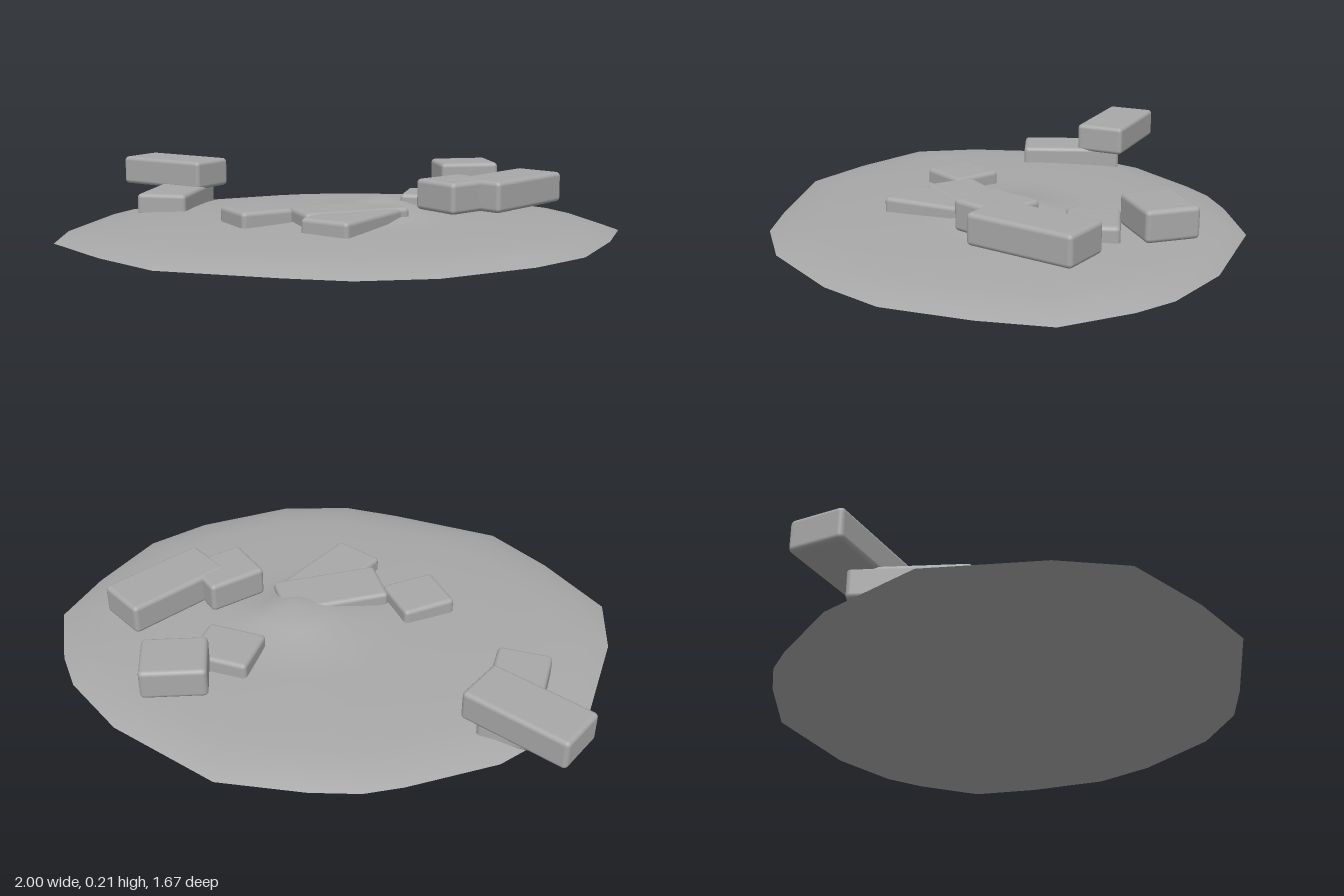
import * as THREE from 'three';
import { RoundedBoxGeometry } from 'three/addons/geometries/RoundedBoxGeometry.js';

const stone = new THREE.MeshStandardMaterial({ color: 0xa8a8a8 });
stone.name = 'grey stone';

// Irregular rim of the mound, as x, z pairs seen from above
const RIM = [
  [-1, 0.22], [-0.8, 0.475], [-0.6, 0.67], [-0.2, 0.785], [0.01, 0.83], [0.27, 0.8], [0.585, 0.645],
  [0.77, 0.49], [0.915, 0.22], [1, -0.01], [0.93, -0.26], [0.86, -0.4], [0.67, -0.6], [0.3, -0.82],
  [0, -0.84], [-0.17, -0.83], [-0.3, -0.79], [-0.6, -0.66], [-0.9, -0.4], [-1, -0.02],
];
const PEAK = [0.14, -0.03];

// Surface from rings that shrink from the rim to the peak; each ring is [scale, height]
function ringSurface(rings, faceUp) {
  const n = RIM.length, pos = [], idx = [];
  for (const [s, y] of rings) {
    for (const [x, z] of RIM) {
      pos.push(PEAK[0] + (x - PEAK[0]) * s, y, PEAK[1] + (z - PEAK[1]) * s);
    }
  }
  const last = pos.length / 3;
  pos.push(PEAK[0], faceUp ? 0.138 : 0.004, PEAK[1]);
  const tri = (a, b, c) => (faceUp ? idx.push(a, b, c) : idx.push(a, c, b));
  for (let r = 0; r < rings.length; r++) {
    for (let i = 0; i < n; i++) {
      const a = r * n + i, b = r * n + (i + 1) % n;
      if (r === rings.length - 1) tri(a, b, last);
      else {
        tri(a, b, b + n);
        tri(a, b + n, a + n);
      }
    }
  }
  const g = new THREE.BufferGeometry();
  g.setAttribute('position', new THREE.Float32BufferAttribute(pos, 3));
  g.setIndex(idx);
  g.computeVertexNormals();
  return g;
}

export function createModel() {
  const model = new THREE.Group();
  const add = (name, geometry) => {
    const mesh = new THREE.Mesh(geometry, stone);
    mesh.name = name;
    model.add(mesh);
    return mesh;
  };

  // Low mound with a small peak, closed by a nearly flat underside
  add('moundTop', ringSurface(
    [[1, 0.008], [0.92, 0.032], [0.8, 0.046], [0.6, 0.057], [0.4, 0.064], [0.28, 0.07], [0.14, 0.098]], true));
  add('moundUnderside', ringSurface([[1, 0.008], [0.85, 0], [0.4, 0.002]], false));

  // Whole and broken bricks: name, x, z, turn, length, top height
  const LOW = 0.115, HIGH = 0.212;
  const bricks = [
    ['leftBackUpperBrick', -0.677, -0.585, -0.59, 0.39, HIGH],
    ['leftBackLowerBrick', -0.65, -0.39, 1.37, 0.385, LOW],
    ['sideUpperBrick', 0.598, -0.012, 0.81, 0.395, HIGH],
    ['sideUpperHalfBrick', 0.395, 0.075, 0.67, 0.215, HIGH - 0.002],
    ['backUpperHalfBrick', 0.484, -0.45, 0.15, 0.225, HIGH],
    ['backLowerHalfBrick', 0.34, -0.26, -0.25, 0.215, LOW],
    ['frontHalfBrick', -0.31, 0.105, 0.51, 0.2, LOW],
    ['middleBrick', 0.013, 0.105, 0.365, 0.39, LOW],
    ['frontBrick', 0.035, 0.206, 0.98, 0.4, LOW - 0.003],
  ];
  for (const [name, x, z, turn, length, top] of bricks) {
    const brick = add(name, new RoundedBoxGeometry(length, 0.11, 0.19, 3, 0.016));
    brick.position.set(x, top - 0.055, z);
    brick.rotation.y = turn;
  }
  return model;
}
